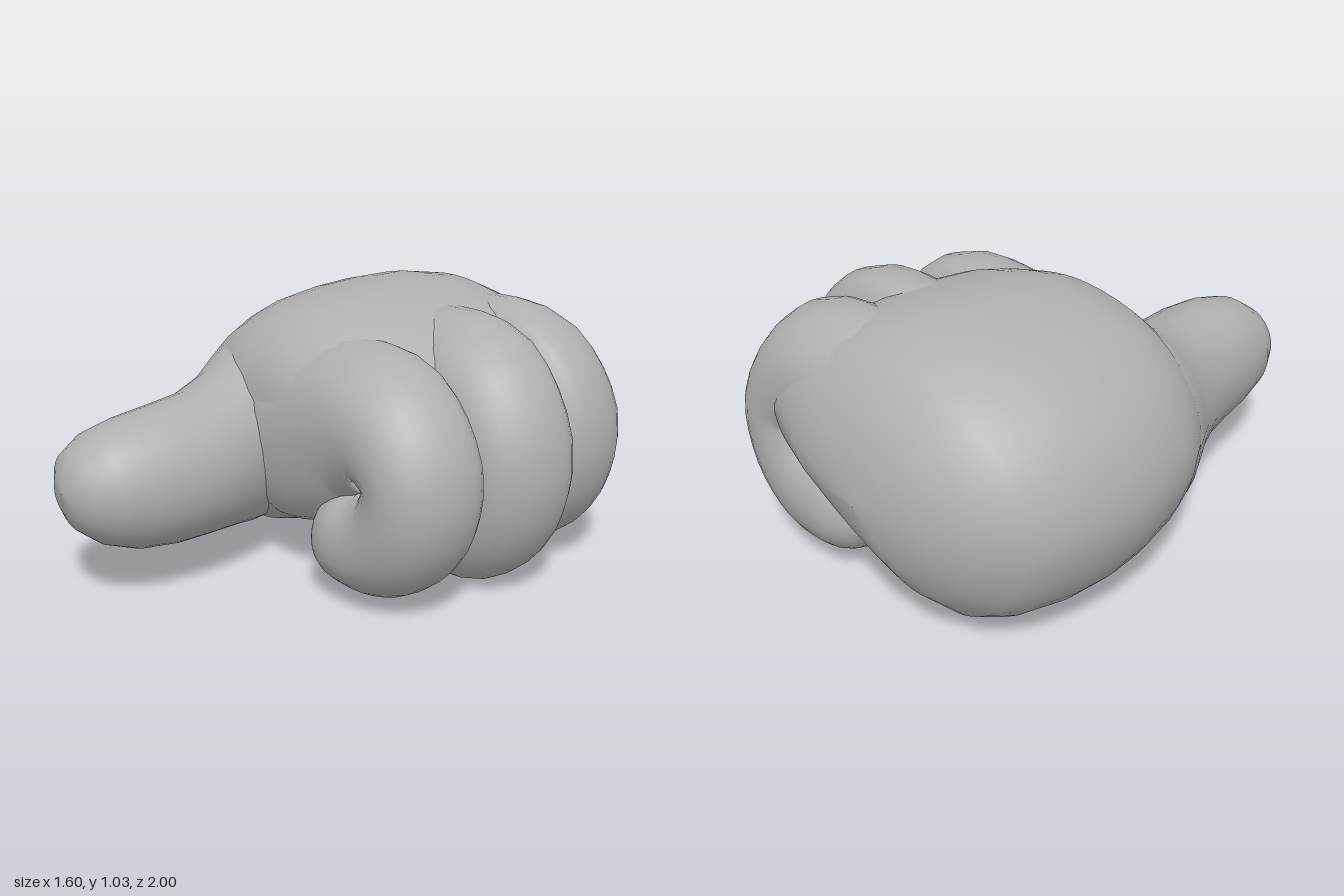
import * as THREE from 'three';

const V = (x, y, z = 0) => new THREE.Vector3(x, y, z);

// Smooth closed skin over a list of rings, each running counter-clockwise around the travel direction
function loft(rings) {
  const n = rings[0].length;
  const positions = rings.flat().flatMap((p) => [p.x, p.y, p.z]);
  const index = [];
  for (let i = 0; i < rings.length - 1; i++) {
    for (let j = 0; j < n; j++) {
      const k = (j + 1) % n;
      const a = i * n + j, b = i * n + k, c = a + n, d = b + n;
      index.push(a, b, c, b, d, c);
    }
  }
  const geometry = new THREE.BufferGeometry();
  geometry.setAttribute('position', new THREE.Float32BufferAttribute(positions, 3));
  geometry.setIndex(index);
  geometry.computeVertexNormals();
  return geometry;
}

// Rounded palm: one side outline, scaled per section as [z, outer side, finger side, height]
function palmGeometry() {
  const outline = new THREE.CatmullRomCurve3([
    V(-0.8, 0.48), V(-0.69, 0.2), V(-0.47, 0.045), V(-0.29, 0.04), V(-0.1, 0.12),
    V(0.1, 0.25), V(0.3, 0.41), V(0.44, 0.54), V(0.48, 0.72), V(0.34, 0.91),
    V(0.1, 1.005), V(-0.15, 1.025), V(-0.48, 0.94), V(-0.71, 0.75),
  ], true).getPoints(56).slice(0, -1);
  const sections = [
    [-1, 0.002, 0.002, 0.002], [-0.99, 0.25, 0.28, 0.22], [-0.96, 0.45, 0.58, 0.42],
    [-0.9, 0.66, 0.88, 0.65], [-0.8, 0.83, 1, 0.86], [-0.7, 0.91, 1, 0.95], [-0.55, 0.97, 1, 1],
    [-0.4, 1, 1, 1], [-0.25, 0.99, 1, 0.985], [-0.1, 0.95, 0.97, 0.95], [0, 0.9, 0.93, 0.9],
    [0.1, 0.82, 0.86, 0.83], [0.18, 0.72, 0.75, 0.7], [0.23, 0.6, 0.6, 0.56],
    [0.26, 0.4, 0.4, 0.4], [0.27, 0.002, 0.002, 0.002],
  ];
  return loft(sections.map(([z, outer, inner, height]) => outline.map((p) => {
    const dx = p.x + 0.1;
    return V(-0.1 + dx * (dx < 0 ? outer : inner), 0.5 + (p.y - 0.5) * height, z);
  })));
}

// Thumb flaring into the palm: oval sections given as [z, left, right, bottom, top]
function thumbGeometry() {
  const sections = [
    [-0.1, -0.7, -0.16, 0.15, 0.78], [0, -0.705, -0.13, 0.11, 0.83], [0.1, -0.675, -0.1, 0.1, 0.83],
    [0.2, -0.62, -0.07, 0.115, 0.785], [0.3, -0.565, -0.04, 0.14, 0.735], [0.45, -0.505, -0.01, 0.16, 0.7],
    [0.6, -0.475, 0, 0.17, 0.69], [0.75, -0.455, -0.015, 0.19, 0.675], [0.87, -0.435, -0.05, 0.235, 0.645],
    [0.95, -0.395, -0.11, 0.3, 0.59], [0.985, -0.33, -0.17, 0.365, 0.53], [1, -0.251, -0.249, 0.449, 0.451],
  ];
  return loft(sections.map(([z, x0, x1, y0, y1]) => Array.from({ length: 32 }, (_, j) => {
    const a = (j / 32) * Math.PI * 2;
    return V((x0 + x1) / 2 + Math.cos(a) * (x1 - x0) / 2, (y0 + y1) / 2 + Math.sin(a) * (y1 - y0) / 2, z);
  })));
}

// Curled finger: ovals swept along a hook from a tall root inside the palm to a rounded tip;
// lean shifts the crest of the knuckle sideways
function fingerGeometry(lean) {
  // The third value of each point is the radius there
  const path = new THREE.CatmullRomCurve3([
    V(-0.4, 0.51, 0.24), V(-0.2, 0.53, 0.34), V(0, 0.555, 0.345), V(0.2, 0.64, 0.29),
    V(0.42, 0.665, 0.235), V(0.57, 0.52, 0.185), V(0.53, 0.34, 0.195), V(0.42, 0.25, 0.205),
    V(0.3, 0.235, 0.195), V(0.11, 0.265, 0.185),
  ]);
  const length = path.getLength();
  const steps = 44;
  const rings = [];
  for (let i = 0; i <= steps; i++) {
    const u = Math.sin((i / steps) * Math.PI / 2);
    const center = path.getPointAt(u);
    const tangent = path.getTangentAt(u).setZ(0).normalize();
    const left = Math.min(1, ((1 - u) * length) / 0.19);
    const cap = Math.max(0.002, Math.sqrt(1 - (1 - left) ** 2));
    const wide = 0.203 * Math.min(1, 0.5 + 3 * u) * cap;
    rings.push(Array.from({ length: 28 }, (_, j) => {
      const a = (j / 28) * Math.PI * 2;
      // Slightly squared oval
      const c = Math.sign(Math.cos(a)) * Math.abs(Math.cos(a)) ** 0.9;
      const s = Math.sign(Math.sin(a)) * Math.abs(Math.sin(a)) ** 0.9;
      const across = c * center.z * cap;
      const shift = lean * Math.max(0, c) ** 2 * (1 - u);
      return V(center.x - tangent.y * across, center.y + tangent.x * across, s * wide + shift);
    }));
  }
  return loft(rings);
}

export function createModel() {
  const glove = new THREE.MeshStandardMaterial({ color: 0xb0b0b0 });
  glove.name = 'grey glove';
  const hand = new THREE.Group();
  hand.name = 'hand';

  const add = (name, geometry) => {
    const mesh = new THREE.Mesh(geometry, glove);
    mesh.name = name;
    hand.add(mesh);
    return mesh;
  };

  add('palm', palmGeometry());
  add('thumb', thumbGeometry());

  // Three fingers side by side: name, x and y offset, z, height scale, lean
  for (const [name, x, y, z, height, lean] of [
    ['indexFinger', 0, 0, 0.085, 1, -0.12],
    ['middleFinger', 0.045, -0.04, -0.315, 1.11, -0.12],
    ['littleFinger', -0.035, 0.01, -0.7, 1.05, 0.1],
  ]) {
    const mesh = add(name, fingerGeometry(lean));
    mesh.position.set(x, y, z);
    mesh.scale.y = height;
  }
  return hand;
}
